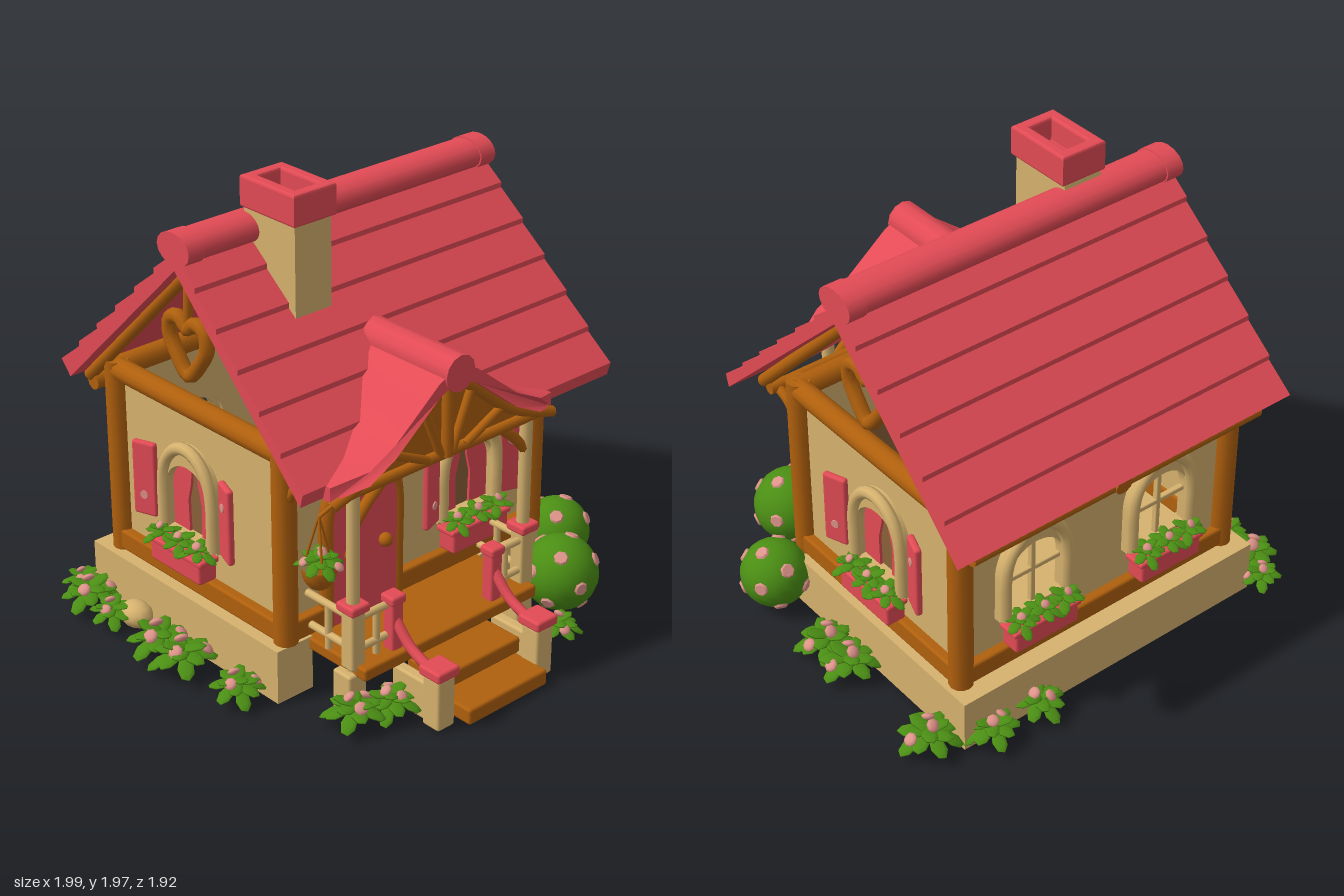
import * as THREE from 'three';
import { mergeGeometries, toCreasedNormals } from 'three/addons/utils/BufferGeometryUtils.js';
import { RoundedBoxGeometry } from 'three/addons/geometries/RoundedBoxGeometry.js';

const flat = (name, color) => new THREE.MeshStandardMaterial({ name, color });
const V = (x, y, z) => new THREE.Vector3(x, y, z);
const V2 = pts => pts.map(([x, y]) => new THREE.Vector2(x, y));

export function createModel() {
  const red = flat('rose red', 0xe34b55), wood = flat('warm wood', 0xb0600d), cream = flat('cream plaster', 0xd6b26e);
  const green = flat('leaf green', 0x4b8e14), pink = flat('blossom pink', 0xde9389), dark = flat('dark interior', 0x8a6038);
  const model = new THREE.Group();

  // Shared helpers
  const group = (parent, name, x = 0, y = 0, z = 0, ry = 0) => {
    const g = new THREE.Group();
    g.name = name; g.position.set(x, y, z); g.rotation.y = ry;
    parent.add(g);
    return g;
  };
  const add = (parent, name, geo, mat, x = 0, y = 0, z = 0) => {
    const m = new THREE.Mesh(geo, mat);
    m.name = name; m.position.set(x, y, z);
    parent.add(m);
    return m;
  };
  const box = (p, name, mat, w, h, d, x, y, z, r = 0.012) => add(p, name, new RoundedBoxGeometry(w, h, d, 2, r), mat, x, y, z);
  const bar = (p, name, mat, a, b, r) => {
    const m = add(p, name, new THREE.CylinderGeometry(r, r, a.distanceTo(b), 12), mat);
    m.position.copy(a).lerp(b, 0.5);
    m.quaternion.setFromUnitVectors(V(0, 1, 0), b.clone().sub(a).normalize());
    return m;
  };
  const tube = (p, name, mat, pts, r, closed = false) =>
    add(p, name, new THREE.TubeGeometry(new THREE.CatmullRomCurve3(pts, closed), 32, r, 8, closed), mat);
  const extrude = (shape, depth) => toCreasedNormals(
    new THREE.ExtrudeGeometry(shape, { depth, bevelEnabled: false, curveSegments: 16 }), 0.6);
  const rect = (w, h, x = 0, y = 0, T = THREE.Shape) => new T(V2([[-1, -1], [1, -1], [1, 1], [-1, 1]].map(([a, b]) => [x + a * w / 2, y + b * h / 2])));
  const arch = (T, hw, y0, spring, ry, x = 0) => {
    const s = new T();
    s.moveTo(x - hw, y0); s.lineTo(x + hw, y0); s.lineTo(x + hw, spring);
    s.absellipse(x, spring, hw, ry, 0, Math.PI, false);
    s.lineTo(x - hw, y0);
    return s;
  };
  const archPts = (hw, y0, spring, ry, z) => {
    const pts = [V(-hw, y0, z), V(-hw, (y0 + spring) / 2, z)];
    for (let i = 0; i <= 8; i++) pts.push(V(-hw * Math.cos(i * Math.PI / 8), spring + ry * Math.sin(i * Math.PI / 8), z));
    return [...pts, V(hw, (y0 + spring) / 2, z), V(hw, y0, z)];
  };

  // Plants: rosettes of broad drooping leaves with a few blossoms
  const plant = (p, name, x, y, z, r, n, blossoms) => {
    const leaves = [], petals = [];
    for (let i = 0; i < n; i++) {
      const t = (i + 0.5) / n, a = i * 2.4 + x * 9 + z * 5;
      leaves.push(new THREE.SphereGeometry(1, 7, 5).scale(r * 0.28, r * 0.08, r * 0.46).rotateX(-0.35 + 0.95 * t)
        .translate(0, r * (0.85 - 0.55 * t), r * (0.25 + 0.55 * t)).rotateY(a));
    }
    for (let i = 0; i < blossoms; i++) petals.push(new THREE.SphereGeometry(r * 0.24, 8, 5).scale(1, 0.5, 1).rotateX(0.7)
      .translate(0, r * (0.95 - 0.15 * i), r * (0.2 + 0.25 * i)).rotateY(i * 2.2 + x * 4));
    const g = group(p, name, x, y, z);
    add(g, 'leaves', mergeGeometries(leaves), green);
    add(g, 'blossoms', mergeGeometries(petals), pink);
  };

  // Foundation wall, open under the porch, and floor
  const ring = new THREE.Shape(V2([[-0.56, -0.35], [-0.74, -0.35], [-0.74, 0.82], [0.76, 0.82], [0.76, -0.35], [0.36, -0.35],
    [0.36, -0.28], [0.69, -0.28], [0.69, 0.75], [-0.67, 0.75], [-0.67, -0.28], [-0.56, -0.28]]));
  add(model, 'foundation', extrude(ring, 0.235).rotateX(-Math.PI / 2), cream);
  box(model, 'floor', cream, 1.4, 0.03, 1.04, 0.01, 0.2, -0.24);

  // Window with frame, curtains or glazing bars, shutters and flower box
  const addWindow = (side, x, curtains, spread) => {
    const g = group(side, 'window', x);
    const frame = arch(THREE.Shape, 0.175, 0.47, 0.67, 0.21);
    frame.holes.push(arch(THREE.Path, 0.135, 0.48, 0.66, 0.13));
    add(g, 'windowFrame', extrude(frame, 0.05), cream, 0, 0, -0.015);
    tube(g, 'windowArch', cream, archPts(0.152, 0.48, 0.67, 0.2, 0.035), 0.026);
    for (const s of [-1, 1]) {
      if (curtains) {
        const c = [[0.145, 0.48], [0.145, 0.72], [0.1, 0.795], [0.012, 0.795], [0.022, 0.7], [0.042, 0.62], [0.038, 0.48]];
        add(g, 'curtain', extrude(new THREE.Shape(V2(c.map(([a, b]) => [s * a, b]))), 0.012), red, 0, 0, -0.015);
        const sh = group(g, 'shutter', s * spread, 0.653, 0.045, -s * 0.35);
        box(sh, 'shutterPanel', red, 0.108, 0.33, 0.03, 0, 0, 0);
        add(sh, 'shutterDot', new THREE.CylinderGeometry(0.018, 0.018, 0.008, 10).rotateX(Math.PI / 2), pink, 0, s * 0.07, 0.016);
      }
      add(g, 'boxFoot', new THREE.SphereGeometry(0.026, 10, 8), red, s * 0.11, 0.36, 0.06);
    }
    if (curtains) add(g, 'windowBack', extrude(arch(THREE.Shape, 0.15, 0.475, 0.66, 0.15), 0.008), dark, 0, 0, -0.03);
    else {
      box(g, 'glazingBar', cream, 0.022, 0.33, 0.025, 0, 0.63, 0.005, 0.005);
      box(g, 'glazingBar', cream, 0.27, 0.022, 0.025, 0, 0.64, 0.005, 0.005);
    }
    box(g, 'flowerBox', red, 0.31, 0.1, 0.09, 0, 0.4, 0.065);
    box(g, 'boxRim', red, 0.335, 0.025, 0.1, 0, 0.445, 0.065, 0.01);
    for (const dx of [-0.11, 0, 0.11]) plant(g, 'boxFlowers', dx, 0.432, 0.075, 0.082, 10, 1);
  };

  // Walls: [name, turn, width, distance, window positions, curtains, shutter spread]
  const house = group(model, 'house', 0.015, 0, -0.2);
  const sides = [['frontWall', 0, 1.35, 0.51, [0.28], true, 0.225], ['backWall', Math.PI, 1.35, 0.51, [-0.335, 0.305], false, 0],
    ['leftWall', Math.PI / 2, 1.02, 0.675, [0.035], true, 0.253], ['rightWall', -Math.PI / 2, 1.02, 0.675, [-0.035], true, 0.253]];
  for (const [name, turn, w, d, windows, curtains, spread] of sides) {
    const side = group(house, name, Math.sin(turn) * d, 0, Math.cos(turn) * d, turn);
    const wall = rect(w, 0.8, 0, 0.64);
    for (const x of windows) wall.holes.push(arch(THREE.Path, 0.15, 0.475, 0.66, 0.15, x));
    add(side, 'plaster', extrude(wall, 0.03), cream, 0, 0, -0.03);
    box(side, 'sillBeam', wood, w, 0.09, 0.08, 0, 0.285, 0);
    bar(side, 'topBeam', wood, V(-w / 2 - 0.02, 1.05, 0), V(w / 2 + 0.02, 1.05, 0), 0.047);
    bar(side, 'cornerPost', wood, V(-w / 2, 0.235, 0), V(-w / 2, 1.09, 0), 0.05);
    for (const x of windows) addWindow(side, x, curtains, spread);
    if (turn === 0) {
      // Arched front door
      const door = group(side, 'door', -0.3);
      add(door, 'doorPanel', extrude(arch(THREE.Shape, 0.17, 0.235, 0.7, 0.17), 0.045), red);
      tube(door, 'doorFrame', wood, archPts(0.183, 0.235, 0.7, 0.183, 0.02), 0.032);
      for (const x of [-0.09, 0.09]) add(door, 'doorKnob', new THREE.SphereGeometry(0.029, 12, 10), wood, x, 0.535, 0.065);
    }
  }

  // Main roof: stepped shingle rows on both slopes, the front flaring towards its eave
  const rows = 6;
  const slope = (end, y, s) => {
    const pts = [];
    for (let i = 0; i < rows; i++) for (const [t, lift] of [[i, 0], [i + 1, 0.022]])
      pts.push([0.16 + s * end * t / rows, 1.745 + (y - 1.745) * t / rows + lift]);
    return pts;
  };
  const outline = [...slope(0.765, 1.03, 1), [0.87, 0.99], [0.16, 1.675], [-0.565, 0.98], ...slope(0.74, 1.015, -1).reverse()];
  const roofGeo = extrude(new THREE.Shape(V2(outline)), 1.6).translate(0, 0, -0.8).rotateY(Math.PI / 2);
  const rp = roofGeo.attributes.position;
  for (let i = 0; i < rp.count; i++) rp.setX(i, 0.025 + rp.getX(i) * (1 + Math.max(0, rp.getZ(i) + 0.16) * 0.045));
  add(model, 'mainRoof', roofGeo, red);
  const ridge = new THREE.CylinderGeometry(0.088, 0.088, 1.6, 16).rotateZ(Math.PI / 2).scale(1, 0.7, 1);
  add(model, 'ridgeCap', ridge, red, 0.025, 1.76, -0.165);
  for (const x of [-0.735, 0.785]) add(model, 'ridgeEnd', ridge.clone().scale(0.05, 1.08, 1.08), red, x, 1.76, -0.165);

  // Open gables: rafters, king post and heart ring
  const heart = [[0, 0.075], [0.045, 0.11], [0.1, 0.095], [0.113, 0.03], [0.07, -0.05], [0, -0.12], [-0.07, -0.05], [-0.113, 0.03], [-0.1, 0.095], [-0.045, 0.11]];
  for (const x of [-0.69, 0.72]) {
    const g = group(model, 'gable', x);
    bar(g, 'rafter', wood, V(0, 1.66, -0.16), V(0, 0.985, 0.51), 0.027);
    bar(g, 'rafter', wood, V(0, 1.66, -0.16), V(0, 0.98, -0.85), 0.027);
    bar(g, 'kingPost', wood, V(0, 1.41, -0.2), V(0, 1.66, -0.18), 0.02);
    tube(g, 'heartRing', wood, heart.map(([a, b]) => V(0, 1.325 + b, -0.2 + a)), 0.031, true);
  }
  bar(model, 'frontEaveBeam', wood, V(-0.7, 0.975, 0.46), V(0.73, 0.975, 0.46), 0.025);
  bar(model, 'backEaveBeam', wood, V(-0.7, 0.96, -0.82), V(0.73, 0.96, -0.82), 0.035);
  bar(model, 'beamEnd', wood, V(0.02, 0.99, -0.68), V(0.02, 0.96, -0.86), 0.04);

  // Chimney
  const shaft = new THREE.BoxGeometry(0.18, 0.42, 0.28).translate(-0.34, 1.65, -0.015);
  const sp = shaft.attributes.position;
  for (let i = 0; i < sp.count; i++) if (sp.getY(i) < 1.5 && sp.getZ(i) < 0) sp.setZ(i, -0.28);
  shaft.computeVertexNormals();
  add(model, 'chimneyShaft', shaft, cream);
  const cap = rect(0.19, 0.29, -0.34, 0.015);
  cap.holes.push(rect(0.13, 0.23, -0.34, 0.015, THREE.Path));
  const capGeo = new THREE.ExtrudeGeometry(cap, { depth: 0.11, bevelThickness: 0.01, bevelSize: 0.01, bevelSegments: 2 });
  add(model, 'chimneyCap', capGeo.rotateX(-Math.PI / 2), red, 0, 1.85, 0);
  box(model, 'chimneyInside', red, 0.15, 0.01, 0.25, -0.34, 1.868, -0.015, 0.002);

  // Porch roof: flared gable trimmed against the main slope
  const porch = group(model, 'porch', -0.105);
  const half = [[0, 1.37], [0.1, 1.32], [0.2, 1.24], [0.32, 1.145], [0.45, 1.08], [0.585, 1.035]];
  const full = drop => V2([...half.slice(1).reverse().map(([x, y]) => [-x, y - drop]), ...half.map(([x, y]) => [x, y - drop])]);
  const porchGeo = extrude(new THREE.Shape([...full(0.06), ...full(0).reverse()]), 0.67);
  const pp = porchGeo.attributes.position;
  for (let i = 0; i < pp.count; i++) {
    if (pp.getZ(i) < 0.1) pp.setZ(i, Math.min(0.53, 1.54 - pp.getY(i)));
    else pp.setZ(i, 0.67 - 0.5 * Math.max(0, Math.abs(pp.getX(i)) - 0.45));
  }
  add(porch, 'porchRoof', toCreasedNormals(porchGeo, 0.6), red);
  bar(porch, 'porchRidge', red, V(0, 1.335, 0.18), V(0, 1.335, 0.68), 0.075);
  add(porch, 'gablePanel', extrude(new THREE.Shape([...V2([[-0.5, 0.97], [0.5, 0.97]]), ...full(0.05).slice(1, -1).reverse()]), 0.015), wood, 0, 0, 0.57);
  tube(porch, 'curvedRafter', wood, full(0.08).map(v => V(v.x, v.y, 0.61)), 0.023);
  bar(porch, 'porchBeam', wood, V(-0.55, 0.972, 0.6), V(0.56, 0.972, 0.6), 0.022);
  bar(porch, 'trussPost', wood, V(0, 0.97, 0.615), V(0, 1.3, 0.615), 0.025);

  // Porch deck, posts, railings and stairs, mirrored about the porch centre
  box(porch, 'deck', wood, 0.94, 0.055, 0.4, 0, 0.205, 0.47);
  box(porch, 'lowerStep', wood, 0.43, 0.07, 0.32, 0.02, 0.035, 0.8);
  box(porch, 'upperStep', wood, 0.43, 0.07, 0.2, 0.02, 0.115, 0.71);
  for (const s of [-1, 1]) {
    const x = s * 0.46, nx = s * 0.27, wx = 0.12 + s * 0.675;
    bar(porch, 'trussStrut', wood, V(s * 0.03, 0.98, 0.61), V(s * 0.13, 1.22, 0.61), 0.018);
    bar(porch, 'trussStrut', wood, V(s * 0.1, 0.98, 0.61), V(s * 0.31, 1.08, 0.61), 0.018);
    bar(porch, 'porchPost', cream, V(x, 0.2, 0.59), V(x, 0.97, 0.59), 0.027);
    box(porch, 'postBase', cream, 0.07, 0.26, 0.07, x, 0.34, 0.59);
    box(porch, 'postCollar', red, 0.095, 0.04, 0.1, x, 0.48, 0.59);
    box(porch, 'deckPier', cream, 0.09, 0.19, 0.1, x, 0.095, 0.57);
    tube(porch, 'brace', wood, [V(x, 0.82, 0.59), V(x - s * 0.06, 0.89, 0.59), V(x - s * 0.14, 0.96, 0.59)], 0.022);
    tube(porch, 'wallBrace', wood, [V(wx, 0.86, 0.33), V(wx, 0.94, 0.39), V(wx, 0.98, 0.5)], 0.022);
    for (const y of [0.29, 0.425]) {
      bar(porch, 'sideRail', cream, V(x, y, 0.33), V(x, y, 0.59), 0.016);
      bar(porch, 'frontRail', cream, V(x, y, 0.6), V(nx, y, 0.6), 0.016);
    }
    bar(porch, 'baluster', cream, V(s * 0.35, 0.23, 0.6), V(s * 0.35, 0.43, 0.6), 0.015);
    bar(porch, 'baluster', cream, V(x, 0.23, 0.45), V(x, 0.43, 0.45), 0.015);
    box(porch, 'upperNewel', red, 0.06, 0.24, 0.06, nx, 0.33, 0.61);
    box(porch, 'upperNewelCap', red, 0.075, 0.04, 0.075, nx, 0.45, 0.61);
    tube(porch, 'handrail', red, [V(nx, 0.36, 0.62), V(nx, 0.27, 0.71), V(nx, 0.22, 0.83)], 0.022);
    box(porch, 'lowerNewel', cream, 0.09, 0.225, 0.09, nx, 0.112, 0.865);
    box(porch, 'lowerNewelCap', red, 0.115, 0.045, 0.115, nx, 0.245, 0.865);
    box(porch, 'stairSide', cream, 0.05, 0.17, 0.2, nx, 0.085, 0.73);
  }

  // Hanging flower basket
  const basket = group(model, 'hangingBasket', -0.725, 0, 0.58);
  bar(basket, 'hook', wood, V(0, 0.92, 0), V(0.08, 0.97, 0.02), 0.008);
  add(basket, 'bowl', new THREE.SphereGeometry(0.07, 14, 8, 0, Math.PI * 2, Math.PI / 2, Math.PI / 2).scale(1, 1.4, 1), wood, 0, 0.715, 0);
  for (let i = 0; i < 3; i++) bar(basket, 'cord', wood, V(Math.cos(i * 2.09) * 0.06, 0.71, Math.sin(i * 2.09) * 0.06), V(0, 0.925, 0), 0.005);
  plant(basket, 'basketFlowers', 0, 0.69, 0, 0.09, 14, 4);

  // Round blossoming bushes
  for (const [x, y, z, r] of [[0.56, 0.195, 0.62, 0.16], [0.845, 0.165, 0.33, 0.145]]) {
    const g = group(model, 'bush', x, y, z);
    add(g, 'foliage', new THREE.SphereGeometry(r, 20, 14), green);
    for (let i = 0; i < 13; i++) {
      const h = 1 - (i + 0.5) / 6.5, q = Math.sqrt(1 - h * h), n = V(q * Math.cos(i * 2.4), h, q * Math.sin(i * 2.4));
      const f = add(g, 'bushBlossom', new THREE.CylinderGeometry(0.025, 0.031, 0.009, 7), pink);
      f.position.copy(n).multiplyScalar(r + 0.001);
      f.quaternion.setFromUnitVectors(V(0, 1, 0), n);
    }
  }

  // Flower beds around the foundation
  for (const [x, z, r] of [[-0.84, -0.72, 0.12], [-0.86, -0.55, 0.1], [-0.86, -0.24, 0.13], [-0.86, -0.08, 0.13], [-0.84, 0.22, 0.11],
    [-0.62, 0.66, 0.12], [-0.47, 0.7, 0.11], [0.4, 0.75, 0.1], [0.86, -0.72, 0.12], [0.86, -0.2, 0.12], [0.86, -0.05, 0.12],
    [0.41, -0.84, 0.11], [0.64, -0.84, 0.11], [-0.79, -0.84, 0.09]]) plant(model, 'flowerBed', x, 0.015, z, r, 14, 3);
  add(model, 'stone', new THREE.SphereGeometry(0.08, 12, 8).scale(0.8, 0.7, 1), cream, -0.79, 0.055, -0.48);
  return model;
}
